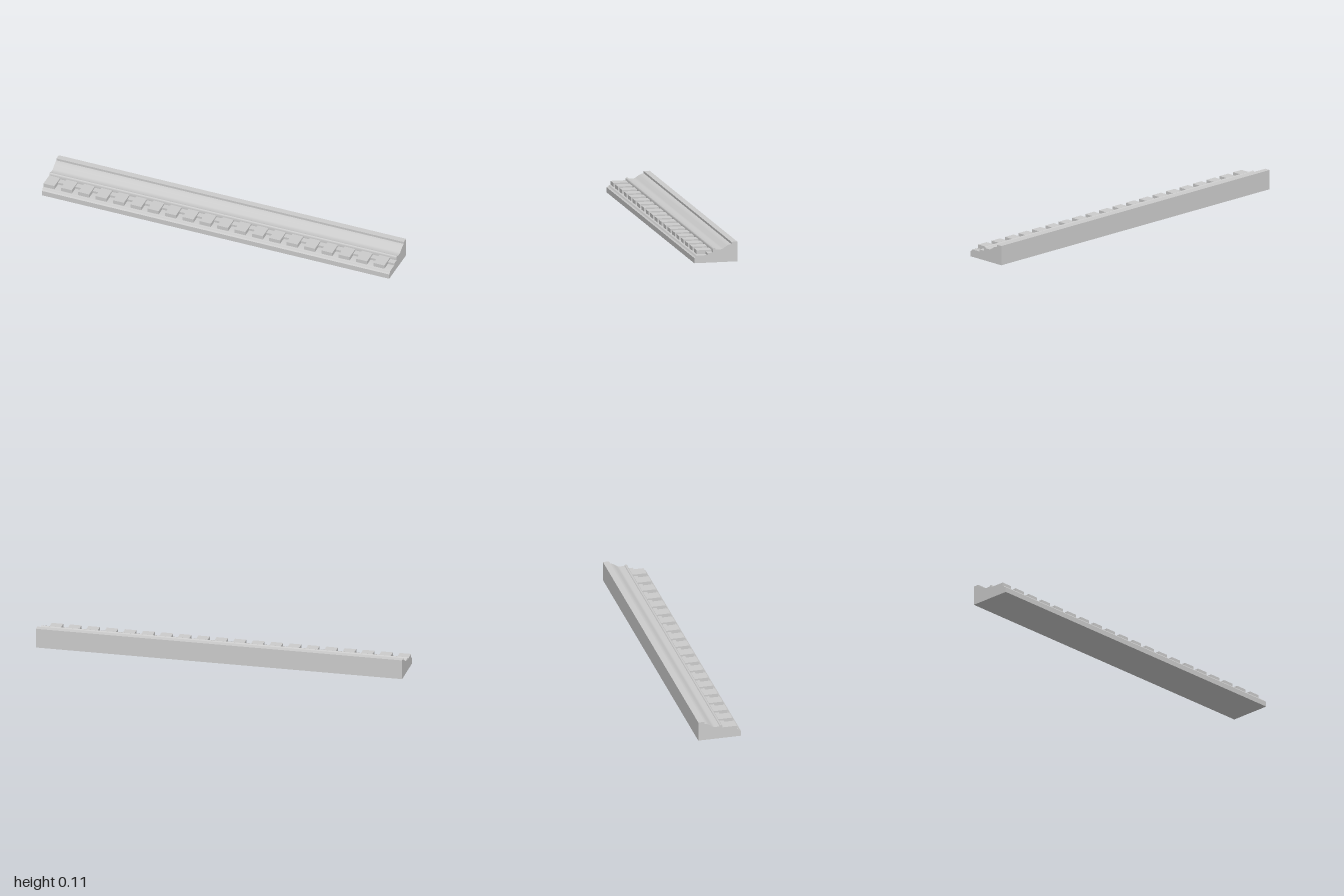
import * as THREE from 'three';
import { toCreasedNormals } from 'three/addons/utils/BufferGeometryUtils.js';

const LENGTH = 2;
const material = new THREE.MeshStandardMaterial({ color: 0xcccccc });

// Moulding cross-section, drawn as (z, y)
function mouldingProfile() {
  const s = new THREE.Shape();
  s.moveTo(-0.117, 0);
  s.lineTo(0.118, 0);
  s.lineTo(0.118, 0.028);
  // small front ovolo
  s.bezierCurveTo(0.113, 0.031, 0.108, 0.032, 0.106, 0.039);
  s.lineTo(0.099, 0.041);
  // steps behind the dentils
  s.lineTo(0.047, 0.041);
  s.lineTo(0.047, 0.053);
  s.lineTo(0.015, 0.053);
  // bead
  s.lineTo(0.015, 0.07);
  s.bezierCurveTo(0.015, 0.079, 0.002, 0.079, 0.001, 0.07);
  // cyma and top fillet
  s.lineTo(-0.02, 0.069);
  s.bezierCurveTo(-0.045, 0.067, -0.05, 0.091, -0.084, 0.095);
  s.lineTo(-0.084, 0.107);
  s.lineTo(-0.117, 0.107);
  s.closePath();
  return s;
}

export function createModel() {
  const model = new THREE.Group();
  model.name = 'dentilMoulding';

  // Long moulding body
  const body = new THREE.ExtrudeGeometry(mouldingProfile(), {
    depth: LENGTH, bevelEnabled: false, curveSegments: 12,
  });
  body.rotateY(-Math.PI / 2);
  body.translate(LENGTH / 2, 0, 0);
  const moulding = new THREE.Mesh(toCreasedNormals(body, 0.6), material);
  moulding.name = 'moulding';
  model.add(moulding);

  // Row of dentils, starting flush with the right end
  const count = 20, pitch = LENGTH / count, width = 0.063;
  const back = 0.014, front = 0.096, bottom = 0.04, top = 0.062;
  const block = new THREE.BoxGeometry(width, top - bottom, front - back);
  const dentils = new THREE.Group();
  dentils.name = 'dentils';
  for (let i = 0; i < count; i++) {
    const dentil = new THREE.Mesh(block, material);
    dentil.name = 'dentil';
    dentil.position.set(-LENGTH / 2 + i * pitch + width / 2, (top + bottom) / 2, (front + back) / 2);
    dentils.add(dentil);
  }
  model.add(dentils);
  return model;
}
